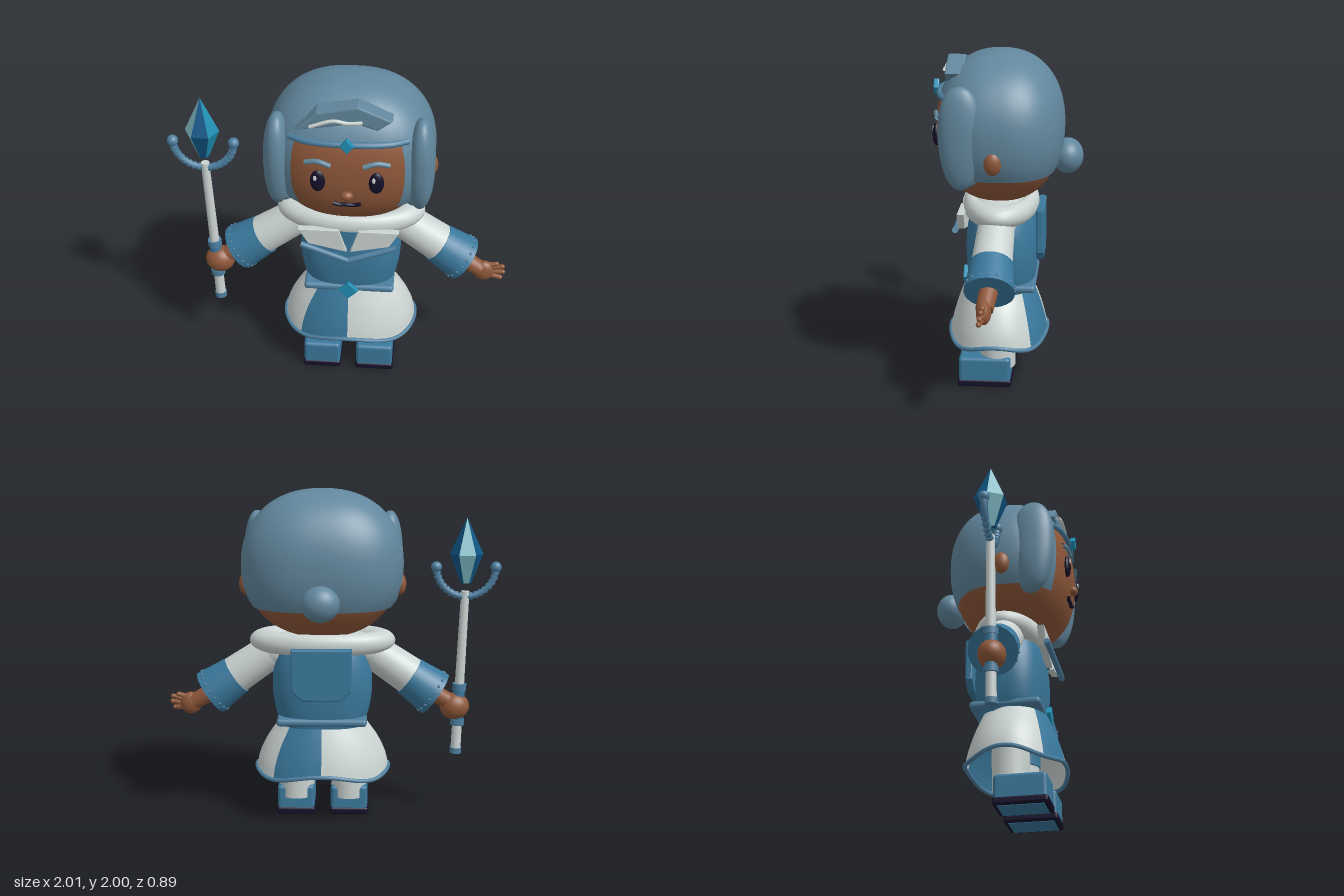
import * as THREE from 'three';
import { mergeVertices } from 'three/addons/utils/BufferGeometryUtils.js';
import { RoundedBoxGeometry } from 'three/addons/geometries/RoundedBoxGeometry.js';

const V = (x, y, z) => new THREE.Vector3(x, y, z);
const PI = Math.PI;
const spow = (v, p) => Math.sign(v) * Math.abs(v) ** p;

// Point on a superellipse ring; t = PI/2 is the front
const ringPoint = (t, y, hx, hz, n, zc) => V(hx * spow(Math.cos(t), 2 / n), y, zc + hz * spow(Math.sin(t), 2 / n));

// Shell through rings [y, hx, hz], listed bottom to top
function shell(rings, n, zc, t0 = 0, t1 = 2 * PI, wave = () => 0) {
  const seg = Math.max(8, Math.round((t1 - t0) * 10)), pos = [], idx = [];
  for (const [y, hx, hz] of rings) for (let i = 0; i <= seg; i++) {
    const t = t0 + (t1 - t0) * i / seg;
    const p = ringPoint(t, y + wave(t, y), hx, hz, n, zc);
    pos.push(p.x, p.y, p.z);
  }
  for (let j = 0; j < rings.length - 1; j++) for (let i = 0; i < seg; i++) {
    const a = j * (seg + 1) + i, b = a + seg + 1;
    idx.push(a, b, a + 1, a + 1, b, b + 1);
  }
  let g = new THREE.BufferGeometry();
  g.setAttribute('position', new THREE.Float32BufferAttribute(pos, 3));
  g.setIndex(idx);
  g = mergeVertices(g, 1e-5);
  g.computeVertexNormals();
  return g;
}

// Smooth profile from a few [y, hx, hz] points
function smoothRings(pts, count = 14) {
  const c = new THREE.CatmullRomCurve3(pts.map(p => V(...p)));
  return c.getPoints(count).map(p => [p.x, p.y, p.z]);
}

// Head form: centre y, half sizes and softness
const HY = 1.555, HZ = 0.04, HN = 2.5, VN = 2.2;
function headRings(hx, hy, hz, yLow) {
  const d = Math.max(-1, (yLow - HY) / hy), v0 = Math.asin(spow(d, VN / 2)), out = [];
  for (let j = 0; j <= 28; j++) {
    const v = v0 + (PI / 2 - v0) * j / 28;
    const s = Math.max(0, Math.cos(v)) ** (2 / VN);
    out.push([HY + hy * spow(Math.sin(v), 2 / VN), hx * s, hz * s]);
  }
  return out;
}
function faceZ(x, y) {
  const s = (1 - Math.abs((y - HY) / 0.44) ** VN) ** (1 / VN);
  return HZ + 0.37 * s * Math.max(0, 1 - (Math.abs(x) / (0.468 * s)) ** HN) ** (1 / HN);
}

export function createModel() {
  const group = new THREE.Group();
  group.name = 'staffBearer';
  const M = (name, color, side = THREE.FrontSide) => new THREE.MeshStandardMaterial({ name, color, side });
  const skin = M('skin', 0x8f583a), hair = M('hair', 0x62879d, THREE.DoubleSide);
  const blue = M('blueCloth', 0x3a789c, THREE.DoubleSide), white = M('whiteCloth', 0xcbd4d2, THREE.DoubleSide);
  const trim = M('trim', 0x4d7f9f), navy = M('navy', 0x14102b), gem = M('gem', 0x1f8fb4);
  const deep = M('crystalDeep', 0x0f5686), pale = M('crystalPale', 0x7fbcc6);

  const add = (name, geo, mat, x = 0, y = 0, z = 0) => {
    const m = new THREE.Mesh(geo, mat);
    m.name = name;
    m.position.set(x, y, z);
    group.add(m);
    return m;
  };
  const ball = (name, mat, p, r) => {
    const m = add(name, new THREE.SphereGeometry(1, 28, 20), mat, ...p);
    m.scale.set(...r);
    return m;
  };
  const rod = (name, mat, a, b, ra, rb, seg = 28) => {
    const d = b.clone().sub(a), m = add(name, new THREE.CylinderGeometry(rb, ra, d.length(), seg), mat);
    m.position.copy(a).addScaledVector(d, 0.5);
    m.quaternion.setFromUnitVectors(V(0, 1, 0), d.normalize());
    return m;
  };
  const tube = (name, mat, pts, r, closed = false, seg = 40) =>
    add(name, new THREE.TubeGeometry(new THREE.CatmullRomCurve3(pts, closed), seg, r, 8, closed), mat);
  const plate = (name, mat, pts, z, depth, bevel = 0) => {
    const s = new THREE.Shape(pts.map(p => new THREE.Vector2(...p)));
    return add(name, new THREE.ExtrudeGeometry(s, { depth, bevelEnabled: bevel > 0, bevelSize: bevel, bevelThickness: bevel, bevelSegments: 2 }), mat, 0, 0, z);
  };
  const diamond = (name, y, z, w, h) => plate(name, gem, [[0, y - h], [w, y], [0, y + h], [-w, y]], z, 0.02, 0.006);

  // Head, hair cap and bun
  add('head', shell(headRings(0.468, 0.44, 0.37, 0), HN, HZ), skin);
  add('hairBack', shell(headRings(0.485, 0.445, 0.377, 1.31), HN, HZ, PI - 0.94, 2 * PI + 0.94), hair);
  add('hairFront', shell(headRings(0.485, 0.445, 0.377, 1.75), HN, HZ, 0.94, PI - 0.94), hair);
  ball('bun', hair, [0, 1.375, -0.355], [0.113, 0.105, 0.092]);
  plate('fringe', hair, [[-0.28, 1.82], [-0.17, 1.92], [0.05, 1.965], [0.23, 1.89], [0.16, 1.84], [0.04, 1.88], [-0.12, 1.85]], 0.245, 0.085, 0.01);
  tube('fringeStreak', white, [V(-0.21, 1.85, 0.355), V(-0.08, 1.895, 0.358), V(0, 1.885, 0.36), V(0.08, 1.89, 0.358)], 0.011);

  // Headband across the brow
  const band = [];
  for (let i = 0; i <= 8; i++) {
    const x = -0.33 + 0.66 * i / 8;
    band.push(V(x, 1.765 - 0.12 * x * x, faceZ(x, 1.76) + 0.012));
  }
  tube('headband', trim, band, 0.018);
  diamond('headbandGem', 1.775, 0.405, 0.03, 0.038);

  // Face
  ball('nose', skin, [0, 1.44, 0.41], [0.036, 0.028, 0.03]);
  tube('mouth', navy, [[-0.08, 1.375], [-0.04, 1.362], [0, 1.365], [0.04, 1.362], [0.08, 1.375]]
    .map(([x, y]) => V(x, y, faceZ(x, y) + 0.006)), 0.012);
  for (const s of [-1, 1]) {
    ball('eye', navy, [s * 0.163, 1.527, faceZ(0.163, 1.527)], [0.043, 0.069, 0.022]);
    ball('eyeShine', white, [s * 0.163 - 0.014, 1.555, faceZ(0.163, 1.55) + 0.02], [0.01, 0.018, 0.005]);
    tube('eyebrow', hair, [[0.09, 1.635], [0.165, 1.655], [0.235, 1.638]].map(([x, y]) => V(s * x, y, faceZ(x, y) + 0.006)), 0.015);
    ball('ear', skin, [s * 0.462, 1.43, 0.05], [0.04, 0.068, 0.05]);
    // Side lock, rounded and slightly wider at the top
    const lock = add('sideLock', shell(headRings(0.08, 0.295, 0.125, 0), 2.2, 0), hair, s * 0.405, 0, 0.235);
    lock.geometry.attributes.position.array.forEach((v, i, a) => {
      if (i % 3 === 2) a[i] = v * (1 + 0.35 * (a[i - 1] - HY));
    });
    lock.geometry.computeVertexNormals();
    ball('lockEnd', hair, [s * 0.37, 1.335, 0.21], [0.06, 0.07, 0.07]);
  }

  // Torso, collar and back panel
  add('torso', shell(smoothRings([[0.58, 0.255, 0.19], [0.68, 0.285, 0.205], [0.82, 0.302, 0.213], [0.98, 0.285, 0.2], [1.09, 0.23, 0.16], [1.13, 0, 0]], 24), 2.6, 0.03), blue);
  const collar = add('collar', new THREE.TorusGeometry(0.35, 0.09, 20, 56).rotateX(PI / 2), white, 0, 1.09, 0.035);
  collar.scale.set(1, 0.72, 0.51);
  ball('collarFill', white, [0, 1.1, 0.03], [0.32, 0.05, 0.16]);
  plate('backPanel', blue, [[-0.17, 1.07], [0.17, 1.07], [0.17, 0.83], [0.11, 0.775], [-0.11, 0.775], [-0.17, 0.83]], -0.215, 0.025, 0.01);
  plate('chestPanel', blue, [[-0.07, 1.08], [0, 0.92], [0.07, 1.08]], 0.225, 0.03);
  for (const s of [-1, 1]) {
    plate('lapel', white, [[s * 0.29, 1.08], [s * 0.06, 1.08], [s * 0.015, 0.935], [s * 0.235, 0.985]], 0.235, 0.035, 0.004);
    rod('chestTrim', trim, V(s * 0.28, 0.985, 0.285), V(0, 0.9, 0.315), 0.018, 0.018, 12);
  }

  // Belt
  add('belt', new RoundedBoxGeometry(0.54, 0.045, 0.42, 3, 0.02), trim, 0, 0.622, 0.03);
  diamond('beltGem', 0.622, 0.24, 0.05, 0.05);

  // Skirt in four sectors with a waved hem
  const skirtRings = smoothRings([[0.285, 0.403, 0.292], [0.37, 0.385, 0.275], [0.48, 0.335, 0.243], [0.57, 0.275, 0.21], [0.63, 0.24, 0.185]], 14);
  const wave = (t, y) => 0.02 * Math.cos(4 * t) * (0.63 - y) / 0.345;
  [[0.5, 0.75, blue], [0.75, 1.5, white], [1.5, 1.75, blue], [1.75, 2.5, white]].forEach(([a, b, mat]) =>
    add('skirtPanel', shell(skirtRings, 2.15, 0.05, a * PI, b * PI, wave), mat));
  const hem = [];
  for (let i = 0; i < 48; i++) {
    const t = i * PI / 24;
    hem.push(ringPoint(t, 0.285 + wave(t, 0.285), 0.404, 0.293, 2.15, 0.05));
  }
  tube('skirtHem', trim, hem, 0.013, true, 144);

  // Legs and boots
  for (const s of [-1, 1]) {
    rod('leg', white, V(s * 0.16, 0.11, 0.047), V(s * 0.16, 0.42, 0.047), 0.106, 0.112);
    rod('shorts', blue, V(s * 0.15, 0.36, 0.047), V(s * 0.14, 0.56, 0.047), 0.118, 0.118);
    add('boot', new RoundedBoxGeometry(0.226, 0.16, 0.31, 4, 0.022), blue, s * 0.163, 0.105, 0.12);
    add('sole', new RoundedBoxGeometry(0.235, 0.046, 0.322, 3, 0.015), navy, s * 0.163, 0.026, 0.12);
    add('soleInset', new THREE.BoxGeometry(0.185, 0.006, 0.27), blue, s * 0.163, 0.003, 0.12);
  }

  // Arms: sleeve, flared cuff with studs, wrist
  for (const s of [-1, 1]) {
    const at = (x, y, z = 0.05) => V(s * x, y, z);
    ball('shoulder', white, [s * 0.29, 1.03, 0.04], [0.115, 0.105, 0.11]);
    rod('sleeve', white, at(0.27, 1.045, 0.04), at(0.56, 0.845), 0.105, 0.118);
    const a = at(0.525, 0.865), b = at(0.685, 0.753);
    rod('cuff', blue, a, b, 0.122, 0.143);
    const axis = b.clone().sub(a).normalize(), up = V(0, 0, 1).cross(axis).normalize();
    for (let i = 0; i < 18; i++) {
      const t = i * PI / 9, p = b.clone().addScaledVector(axis, -0.03);
      p.addScaledVector(up, 0.139 * Math.cos(t)).add(V(0, 0, 0.139 * Math.sin(t)));
      add('cuffStud', new THREE.SphereGeometry(0.009, 8, 6), trim, p.x, p.y, p.z);
    }
    rod('wrist', skin, at(0.64, 0.78), at(0.79, 0.69, 0.068), 0.055, 0.05);
  }

  // Open hand on the left
  ball('palm', skin, [0.81, 0.682, 0.07], [0.066, 0.068, 0.042]);
  [[0.885, 0.735], [0.92, 0.722], [0.925, 0.687], [0.91, 0.65]].forEach(([x, y], i) => {
    const start = V(0.825, 0.72 - i * 0.021, 0.07), tip = V(x, y, 0.07 + 0.006 * i);
    rod('finger', skin, start, tip, 0.018, 0.014, 12);
    ball('fingertip', skin, tip.toArray(), [0.017, 0.015, 0.015]);
  });

  // Fist on the right
  ball('fist', skin, [-0.805, 0.672, 0.07], [0.09, 0.083, 0.078]);

  // Staff, slightly tilted
  const onStaff = y => V(-0.857 + (1.385 - y) * 0.04, y, 0.07);
  const staffPart = (name, mat, y0, y1, r0, r1 = r0) => rod(name, mat, onStaff(y0), onStaff(y1), r0, r1, 20);
  staffPart('staffShaft', white, 0.385, 1.385, 0.031, 0.025);
  staffPart('staffGrip', blue, 0.57, 0.79, 0.036);
  staffPart('gripRing', trim, 0.775, 0.815, 0.042);
  staffPart('gripRing', trim, 0.555, 0.59, 0.042);
  staffPart('staffFoot', trim, 0.375, 0.41, 0.036);

  // Ribbed fork with end beads
  const fx = -0.86, fy = 1.53, fr = 0.178;
  add('fork', new THREE.TorusGeometry(fr, 0.018, 10, 40, PI).rotateZ(PI), trim, fx, fy, 0.07);
  for (let i = 0; i <= 18; i++) {
    const t = PI + PI * i / 18;
    const rib = add('forkRib', new THREE.CylinderGeometry(0.023, 0.023, 0.017, 12), trim, fx + fr * Math.cos(t), fy + fr * Math.sin(t), 0.07);
    rib.rotation.z = t;
  }
  for (const s of [-1, 1]) ball('forkBead', trim, [fx + s * fr, fy, 0.07], [0.033, 0.033, 0.033]);

  // Six-sided crystal with alternating facet colours
  const facetMats = [gem, deep, pale, deep, pale, deep];
  const rings = [[0.001, 1.435], [0.032, 1.435], [0.1, 1.61], [0.001, 1.825]];
  facetMats.forEach((mat, i) => {
    const pts = rings.map(([r, y]) => new THREE.Vector2(r, y));
    // Lathe angle is measured from +z toward +x
    const g = new THREE.LatheGeometry(pts, 1, PI / 6 + (i * PI) / 3, PI / 3).toNonIndexed();
    g.computeVertexNormals();
    add('crystalFacet', g, mat, fx, 0, 0.07);
  });

  group.position.x = 0.07;
  const root = new THREE.Group();
  root.name = 'model';
  root.add(group);
  return root;
}
